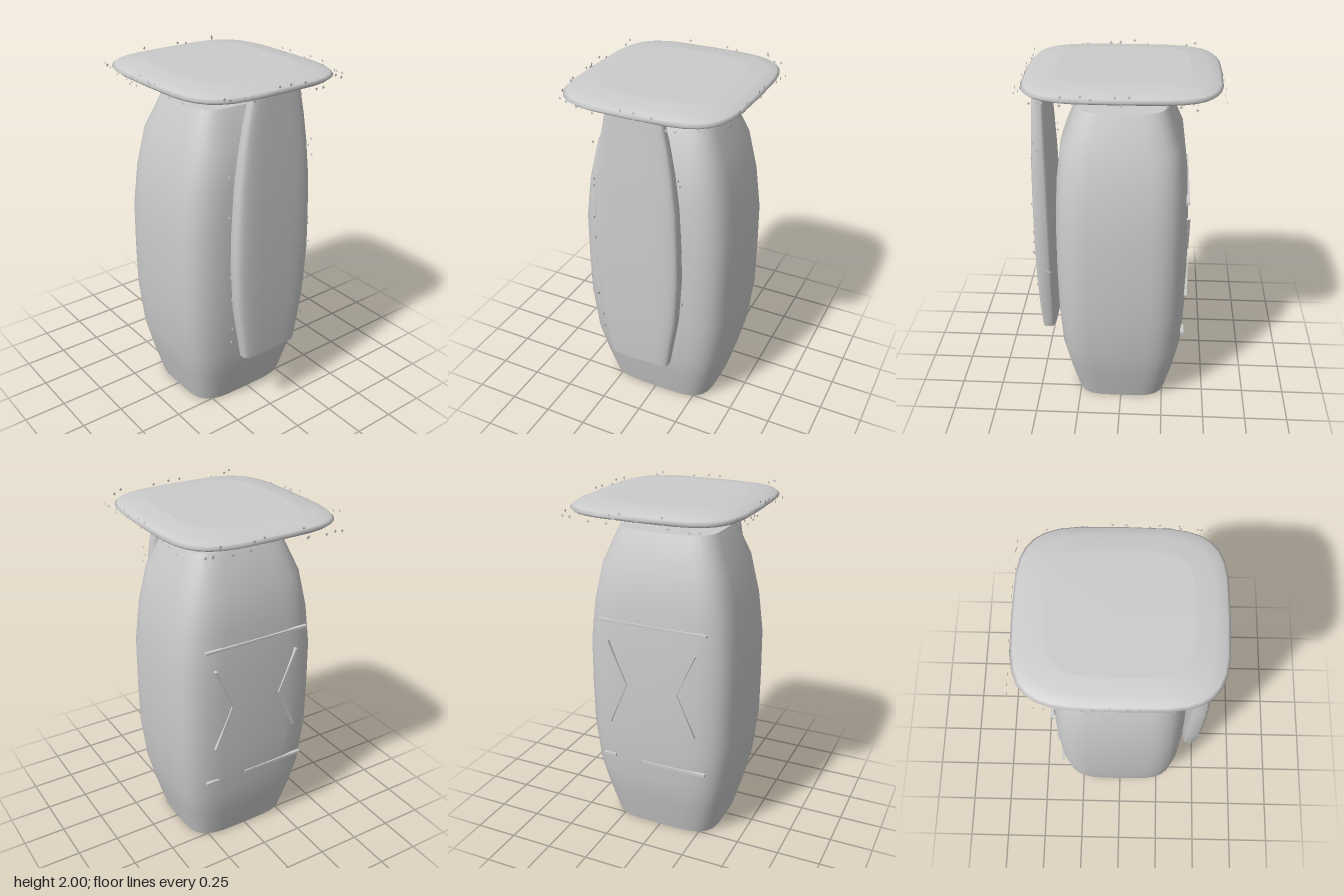
import * as THREE from 'three';

const material = new THREE.MeshStandardMaterial({ color: 0xcccccc });
const thin = new THREE.MeshStandardMaterial({ color: 0xcccccc, side: THREE.DoubleSide });
const SIDES = 32;

// Loft of rounded-square rings; each ring is [y, halfWidth, halfDepth]
function loft(name, rings, power = 4) {
  const pos = [], index = [];
  const addRing = ([y, a, b]) => {
    const start = pos.length / 3;
    for (let i = 0; i < SIDES; i++) {
      const t = (i / SIDES) * Math.PI * 2, c = Math.cos(t), s = Math.sin(t);
      pos.push(a * Math.sign(c) * Math.abs(c) ** (2 / power), y, b * Math.sign(s) * Math.abs(s) ** (2 / power));
    }
    return start;
  };
  const starts = rings.map(addRing);
  for (let r = 0; r + 1 < starts.length; r++) {
    for (let i = 0; i < SIDES; i++) {
      const j = (i + 1) % SIDES, lo = starts[r], hi = starts[r + 1];
      index.push(lo + i, hi + i, lo + j, hi + i, hi + j, lo + j);
    }
  }
  // Flat caps with their own vertices keep the rims sharp
  for (const top of [false, true]) {
    const ring = top ? rings[rings.length - 1] : rings[0];
    const start = addRing(ring), centre = pos.length / 3;
    pos.push(0, ring[0], 0);
    for (let i = 0; i < SIDES; i++) {
      const p = start + i, q = start + ((i + 1) % SIDES);
      index.push(centre, top ? q : p, top ? p : q);
    }
  }
  const geo = new THREE.BufferGeometry();
  geo.setAttribute('position', new THREE.Float32BufferAttribute(pos, 3));
  geo.setIndex(index);
  geo.computeVertexNormals();
  const mesh = new THREE.Mesh(geo, material);
  mesh.name = name;
  return mesh;
}

// Small seeded generator
function seeded(seed) {
  return () => (seed = (seed * 16807) % 2147483647) / 2147483647;
}

// Tiny flat diamonds scattered over the faces of a box
function specks(name, centre, half, counts) {
  const group = new THREE.Group();
  group.name = name;
  const rand = seeded(71), geo = new THREE.CircleGeometry(0.009, 4);
  counts.forEach((count, axis) => {
    for (const side of [-1, 1]) {
      for (let i = 0; i < count; i++) {
        const p = half.map((h, k) => centre[k] + (k === axis ? side * h : (rand() * 2 - 1) * h * 0.85));
        const speck = new THREE.Mesh(geo, thin);
        speck.name = 'speck';
        speck.position.set(...p);
        if (axis === 0) speck.rotation.y = Math.PI / 2;
        if (axis === 1) speck.rotation.x = Math.PI / 2;
        group.add(speck);
      }
    }
  });
  return group;
}

// Thin raised strip on the back between two x, y points
function strip([x1, y1], [x2, y2], z) {
  const length = Math.hypot(x2 - x1, y2 - y1);
  const mesh = new THREE.Mesh(new THREE.BoxGeometry(length, 0.014, 0.02), material);
  mesh.name = 'backStrip';
  mesh.position.set((x1 + x2) / 2, (y1 + y2) / 2, z);
  mesh.rotation.z = Math.atan2(y2 - y1, x2 - x1);
  return mesh;
}

export function createModel() {
  const model = new THREE.Group();
  model.name = 'model';

  // Barrel-shaped main body
  model.add(loft('body', [
    [0, 0.33, 0.275], [0.2, 0.385, 0.325], [0.37, 0.425, 0.36], [0.64, 0.455, 0.375], [0.9, 0.457, 0.378],
    [1.17, 0.455, 0.375], [1.41, 0.425, 0.363], [1.63, 0.375, 0.335], [1.83, 0.29, 0.25],
  ], 4.2));

  // Upright panel in front of the body
  const panel = loft('frontPanel', [
    [0.4, 0.185, 0.043], [0.56, 0.21, 0.053], [0.73, 0.237, 0.057], [1, 0.253, 0.06], [1.2, 0.25, 0.059],
    [1.45, 0.238, 0.055], [1.65, 0.215, 0.048], [1.8, 0.19, 0.042], [1.94, 0.16, 0.036],
  ]);
  panel.position.z = 0.45;
  model.add(panel);

  // Overhanging top slab with a rounded rim
  const slab = [[1.92, 0.7], [1.93, 0.86], [1.945, 0.97], [1.96, 1], [1.975, 0.97], [1.99, 0.86], [2, 0.68]];
  model.add(loft('topSlab', slab.map(([y, s]) => [y, 0.49 * s, 0.53 * s])));

  // Line pattern on the back: two bars and two facing chevrons
  const pattern = new THREE.Group();
  pattern.name = 'backPattern';
  pattern.add(
    strip([-0.33, 1.335], [0.32, 1.335], -0.366),
    strip([-0.33, 0.48], [0.065, 0.48], -0.363),
    strip([0.24, 0.48], [0.32, 0.48], -0.36),
  );
  for (const s of [-1, 1]) {
    pattern.add(strip([s * 0.265, 1.215], [s * 0.155, 0.965], -0.373));
    pattern.add(strip([s * 0.155, 0.965], [s * 0.265, 0.71], -0.373));
  }
  model.add(pattern);

  // Sparse specks around the slab and the panel
  model.add(specks('slabSpecks', [0, 1.96, 0], [0.485, 0.04, 0.53], [18, 16, 18]));
  model.add(specks('panelSpecks', [0, 1.13, 0.45], [0.25, 0.72, 0.06], [16, 0, 14]));
  return model;
}
